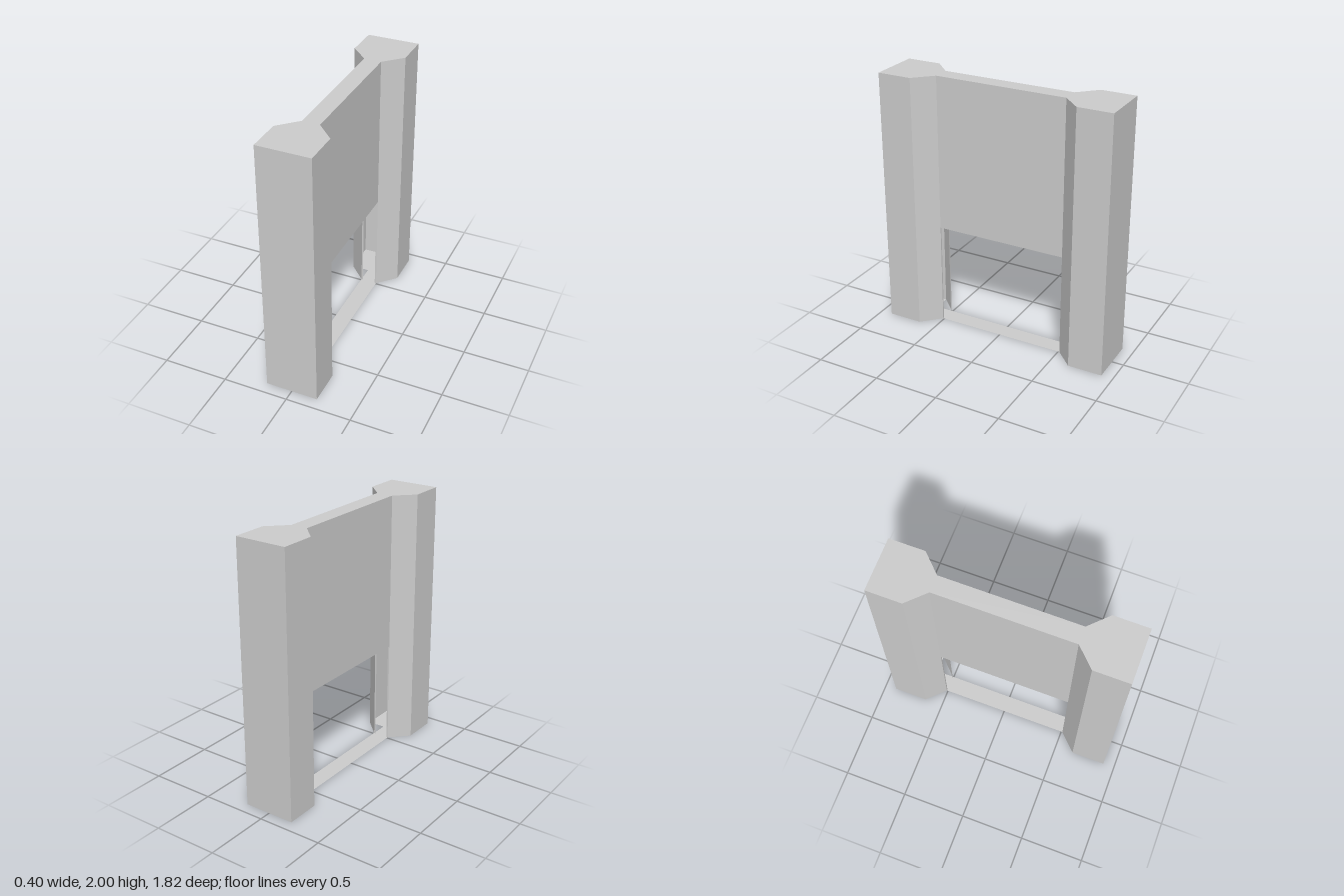
import * as THREE from 'three';

// Half sizes: column width, web width, column end, shoulder, web end
const W = 0.2, T = 0.065, END = 0.91, SH = 0.645, IN = 0.51;
const H = 2, SILL = 0.8, LIP = 0.012;

export function createModel() {
  const group = new THREE.Group();
  const grey = new THREE.MeshStandardMaterial({ color: 0xcccccc, side: THREE.DoubleSide });
  grey.name = 'concrete grey';

  const add = (name, geometry) => {
    const mesh = new THREE.Mesh(geometry, grey);
    mesh.name = name;
    group.add(mesh);
    return mesh;
  };

  // Upright sheet following a path of [x, z] points, hard corners
  const wall = (name, path, y0, y1) => {
    const pos = [];
    for (let i = 0; i + 1 < path.length; i++) {
      const [ax, az] = path[i], [bx, bz] = path[i + 1];
      pos.push(ax, y0, az, bx, y0, bz, bx, y1, bz, ax, y0, az, bx, y1, bz, ax, y1, az);
    }
    const g = new THREE.BufferGeometry();
    g.setAttribute('position', new THREE.Float32BufferAttribute(pos, 3));
    g.computeVertexNormals();
    return add(name, g);
  };

  // Flat horizontal sheet at height y, facing up or down
  const slab = (name, points, y, up) => {
    const shape = new THREE.Shape(points.map(([x, z]) => new THREE.Vector2(x, up ? -z : z)));
    const g = new THREE.ShapeGeometry(shape);
    g.rotateX(up ? -Math.PI / 2 : Math.PI / 2);
    g.translate(0, y, 0);
    return add(name, g);
  };
  const rect = (x0, x1, z0, z1) => [[x0, z0], [x1, z0], [x1, z1], [x0, z1]];

  // Column outline from one side of the web round to the other
  const column = [[-T, IN], [-W, SH], [-W, END], [W, END], [W, SH], [T, IN]];
  const turned = column.map(([x, z]) => [-x, -z]);
  wall('frontColumn', column, 0, H);
  wall('backColumn', turned.slice(), 0, H);

  // Web panels between the columns, with thin rims round the opening
  wall('leftPanel', [[T, IN], [T, -IN]], SILL, H);
  wall('rightPanel', [[-T, -IN], [-T, IN]], SILL, H);
  for (const s of [1, -1]) {
    const x0 = Math.min(s * T, s * (T - LIP)), x1 = x0 + LIP;
    slab('panelRim', rect(x0, x1, -IN, IN), SILL, false);
    wall('frontColumnRim', [[x1, IN], [x0, IN]], 0, SILL);
    wall('backColumnRim', [[x0, -IN], [x1, -IN]], 0, SILL);
    // Short soffit where the web meets each column
    slab('soffit', rect(-T, T, s > 0 ? IN : -SH, s > 0 ? SH : -IN), SILL, false);
  }

  // Top cap, and base strip with square column feet
  slab('topCap', [...column, ...turned], H, true);
  slab('base', [
    [-T, SH], [-W, SH], [-W, END], [W, END], [W, SH], [T, SH],
    [T, -SH], [W, -SH], [W, -END], [-W, -END], [-W, -SH], [-T, -SH],
  ], 0, false);

  return group;
}
